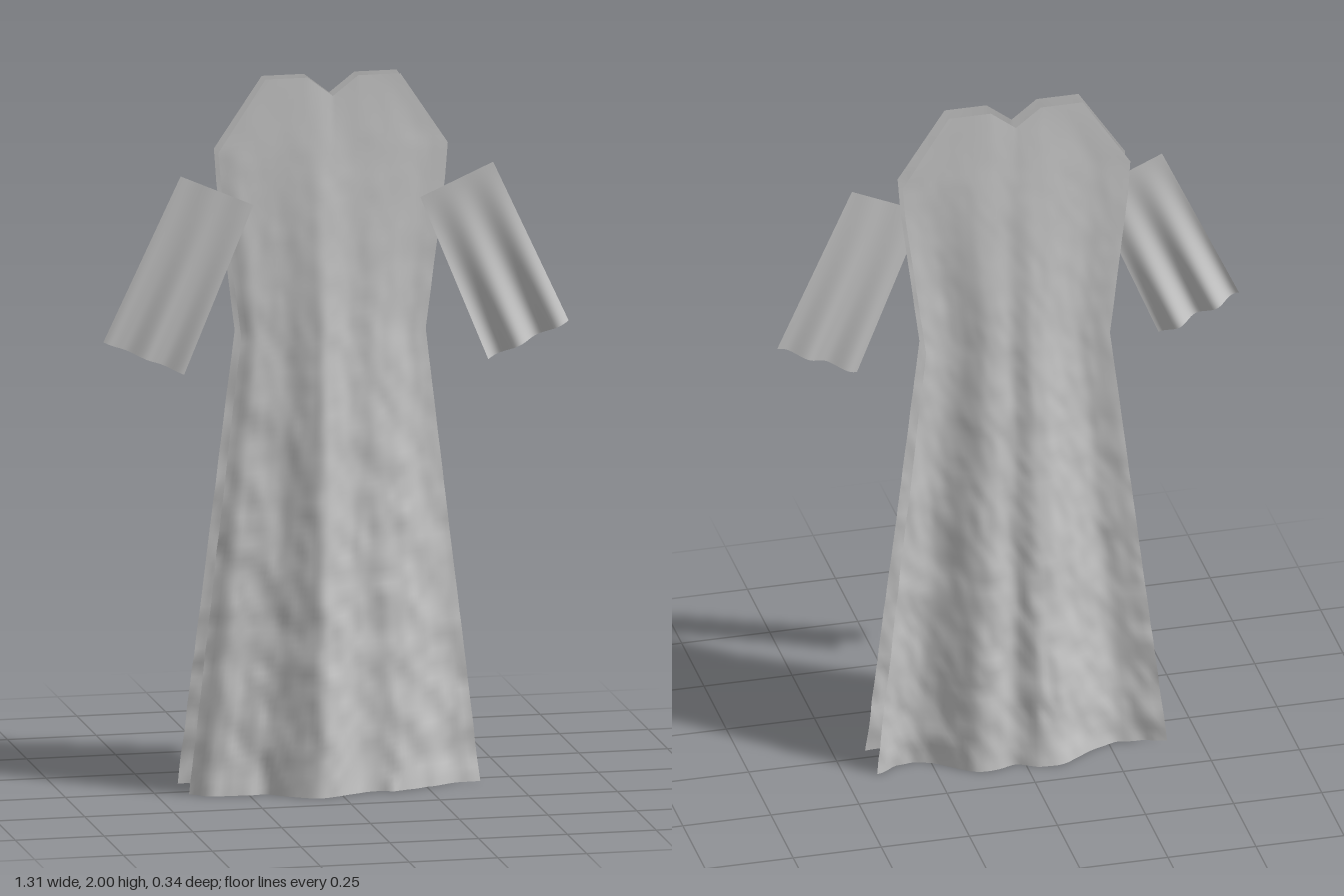
import * as THREE from 'three';

const material = new THREE.MeshStandardMaterial({ color: 0xcccccc, side: THREE.DoubleSide });
const { lerp, clamp } = THREE.MathUtils;

// Piecewise linear lookup in [key, value] pairs
function lookup(pairs, k) {
  for (let i = 1; i < pairs.length; i++) {
    const [k0, v0] = pairs[i - 1], [k1, v1] = pairs[i];
    if (k <= k1) return lerp(v0, v1, clamp((k - k0) / (k1 - k0), 0, 1));
  }
  return pairs[pairs.length - 1][1];
}

// Smooth seeded value noise, -1 to 1
function hash(i, j, seed) {
  const s = Math.sin(i * 127.1 + j * 311.7 + seed * 74.7) * 43758.5453;
  return (s - Math.floor(s)) * 2 - 1;
}
function noise(x, y, seed) {
  const i = Math.floor(x), j = Math.floor(y);
  const f = (t) => t * t * (3 - 2 * t);
  const a = f(x - i), b = f(y - j);
  return lerp(lerp(hash(i, j, seed), hash(i + 1, j, seed), a),
    lerp(hash(i, j + 1, seed), hash(i + 1, j + 1, seed), a), b);
}

// Cloth sheet: a plane grid whose vertices are placed by rule(u, v) -> [x, y, z]
function sheet(name, columns, rows, rule, flip = false) {
  const geometry = new THREE.PlaneGeometry(1, 1, columns, rows);
  const p = geometry.attributes.position, uv = geometry.attributes.uv;
  for (let i = 0; i < p.count; i++) p.setXYZ(i, ...rule(uv.getX(i), uv.getY(i)));
  if (flip) geometry.index.array.reverse();
  geometry.computeVertexNormals();
  const mesh = new THREE.Mesh(geometry, material);
  mesh.name = name;
  return mesh;
}

// Half width of the gown at each height: hem, waist, armhole, shoulder
const halfWidth = [[0, 0.41], [1.28, 0.26], [1.7, 0.315], [1.8, 0.323], [2, 0.19]];

// Depth of the hem folds across the width
const frontHem = [[-0.41, 0.035], [-0.36, 0.075], [-0.28, 0.075], [-0.2, 0.085], [-0.13, 0.13],
  [-0.06, 0.172], [0, 0.145], [0.05, 0.118], [0.1, 0.108], [0.16, 0.112], [0.25, 0.088], [0.33, 0.045], [0.41, 0.03]];
const backHem = [[-0.41, -0.112], [-0.36, -0.1], [-0.28, -0.08], [-0.2, -0.115], [-0.1, -0.167], [-0.04, -0.175],
  [0.03, -0.138], [0.1, -0.162], [0.15, -0.157], [0.2, -0.12], [0.25, -0.078], [0.3, -0.058], [0.35, -0.068], [0.41, -0.095]];

// Gown panel, flat at the neck, folds and wrinkles deepening to the hem
function panel(name, hem, zTop, seed, flip) {
  return sheet(name, 64, 100, (u, v) => {
    const s = u * 2 - 1, y = v * 2, drop = 1 - v;
    const x = s * lookup(halfWidth, y);
    const neck = 0.055 * Math.max(0, 1 - Math.abs(x) / 0.071) * clamp((y - 1.7) / 0.3, 0, 1);
    let fold = 0;
    for (let k = -1; k <= 1; k++) fold += lookup(hem, s * 0.41 + k * 0.015) / 3;
    const crumple = noise(x * 20 + y * 4, y * 13, seed) * 0.006 + noise(x * 40 - y * 5, y * 25, seed + 5) * 0.003;
    return [x, y - neck, lerp(zTop, fold, drop) + crumple * drop];
  }, flip);
}

// Flat sleeve with folds that open toward the cuff
function sleeve(name, side, cuffDepth) {
  return sheet(name, 40, 20, (u, v) => {
    const a = side > 0 ? u : 1 - u; // 0 inner edge, 1 outer edge
    const x = lerp(lerp(0.43, 0.655, a), lerp(0.235, 0.44, a), v);
    const y = lerp(lerp(1.19, 1.29, a), lerp(1.66, 1.75, a), v);
    return [side * x, y, lerp(cuffDepth(a), 0.066, v)];
  });
}

export function createModel() {
  const group = new THREE.Group();
  group.name = 'gown';
  group.add(
    panel('frontPanel', frontHem, 0.015, 1, false),
    panel('backPanel', backHem, -0.034, 9, true),
    sleeve('leftSleeve', 1, (a) => 0.05 - 0.014 * Math.cos((a - 0.12) * Math.PI * 4) + 0.006 * a),
    sleeve('rightSleeve', -1, (a) => 0.05 + 0.015 * Math.cos(a * Math.PI * 4.3) - 0.005 * a),
  );
  return group;
}
